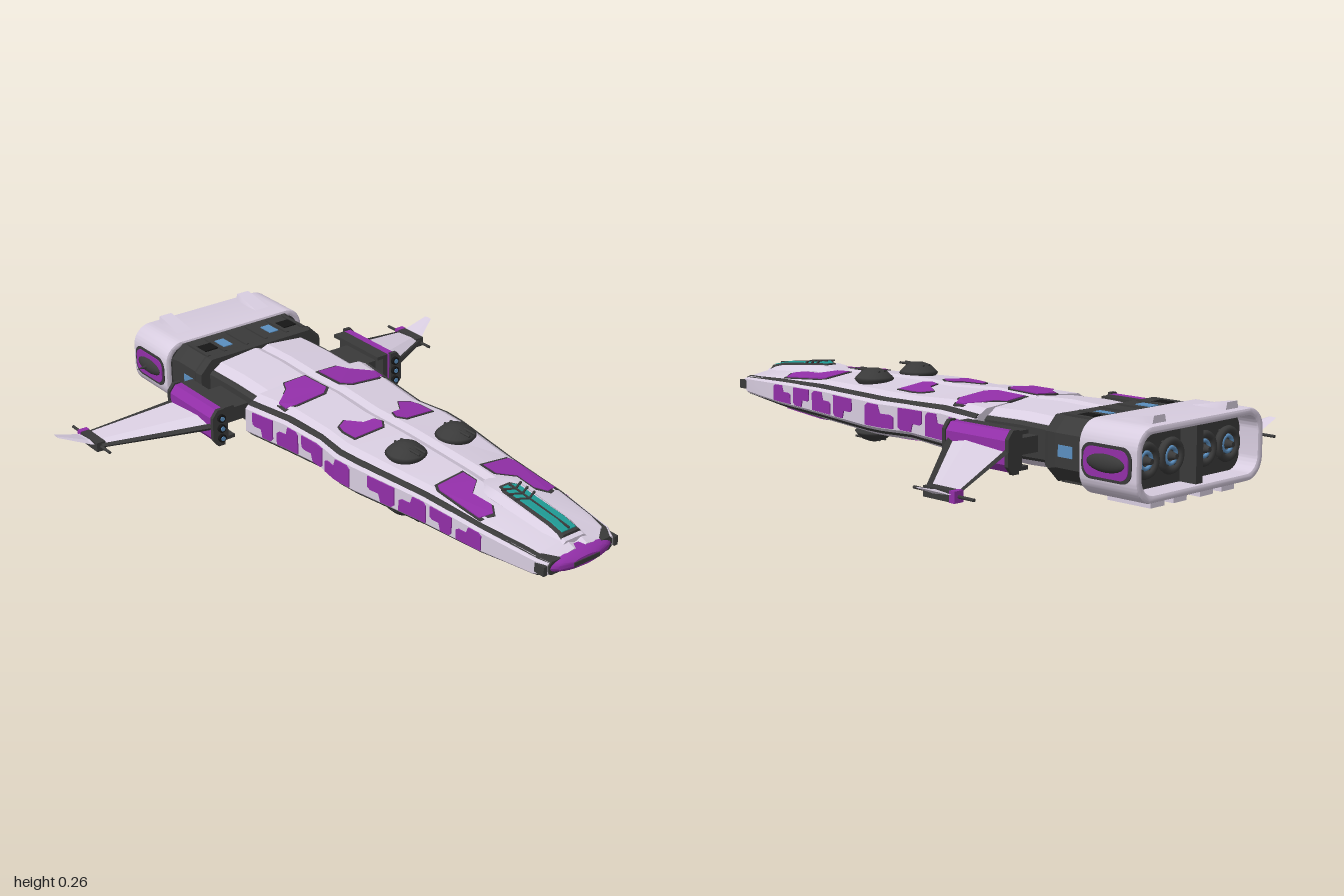
import * as THREE from 'three';
import { toCreasedNormals } from 'three/addons/utils/BufferGeometryUtils.js';

const CY = 0.145; // height of the ship's centre plane
const mat = (color) => new THREE.MeshStandardMaterial({ color });
const white = mat(0xd8cde0), purple = mat(0x922fa8), dark = mat(0x3a3a3a), black = mat(0x161616);
const teal = mat(0x1f9a94), blue = mat(0x5b8fc0);

// hull stations: z, half width, half height
const HULL = [[0.97, 0.13, 0.032], [0.93, 0.15, 0.048], [0.72, 0.178, 0.069], [0.48, 0.195, 0.082], [0.2, 0.235, 0.089],
  [0.12, 0.24, 0.088], [0, 0.222, 0.086], [-0.16, 0.234, 0.096], [-0.335, 0.265, 0.091]];
const REAR = [[-0.335, 0.215, 0.09], [-0.48, 0.215, 0.095], [-0.64, 0.215, 0.09]];

// interpolated [half width, half height] at z
function at(z) {
  let i = 0;
  while (i < HULL.length - 2 && z < HULL[i + 1][0]) i++;
  const a = HULL[i], b = HULL[i + 1], t = (z - a[0]) / (b[0] - a[0]);
  return [a[1] + (b[1] - a[1]) * t, a[2] + (b[2] - a[2]) * t];
}

// upper shell half profile, relative to the centre plane
const profile = (w, h) => [[0, h - 0.01], [0.025, h], [0.78 * w, h - 0.014], [0.92 * w, 0.62 * h]];
function topY(x, z) {
  const p = profile(...at(z)), ax = Math.abs(x);
  let i = 0;
  while (i < 2 && ax > p[i + 1][0]) i++;
  return p[i][1] + (p[i + 1][1] - p[i][1]) * (ax - p[i][0]) / (p[i + 1][0] - p[i][0]);
}

// solid through rings of equal point count, capped, always facing outward
function loft(rings, crease = 0.5) {
  const n = rings[0].length, pos = rings.flat(2), idx = [];
  for (let r = 0; r < rings.length - 1; r++) for (let i = 0; i < n; i++) {
    const a = r * n + i, b = r * n + (i + 1) % n;
    idx.push(a, b, a + n, b, b + n, a + n);
  }
  [[0, 1], [rings.length - 1, -1]].forEach(([r, s]) => {
    const c = pos.length / 3;
    for (let k = 0; k < 3; k++) pos.push(rings[r].reduce((t, p) => t + p[k], 0) / n);
    for (let i = 0; i < n; i++) {
      const a = r * n + i, b = r * n + (i + 1) % n;
      s > 0 ? idx.push(c, b, a) : idx.push(c, a, b);
    }
  });
  const v = (i) => new THREE.Vector3().fromArray(pos, i * 3);
  let vol = 0;
  for (let i = 0; i < idx.length; i += 3) vol += v(idx[i]).dot(v(idx[i + 1]).cross(v(idx[i + 2])));
  if (vol < 0) idx.reverse();
  const g = new THREE.BufferGeometry();
  g.setAttribute('position', new THREE.Float32BufferAttribute(pos, 3));
  g.setIndex(idx);
  return toCreasedNormals(g, crease);
}

// mirrored copy across x = 0 with winding repaired
function mirrorX(geo) {
  const g = geo.index ? geo.toNonIndexed() : geo.clone();
  g.scale(-1, 1, 1);
  for (const a of Object.values(g.attributes)) {
    const s = a.itemSize;
    for (let i = 0; i < a.count; i += 3) for (let k = 0; k < s; k++) {
      const p = (i + 1) * s + k, q = (i + 2) * s + k, t = a.array[p];
      a.array[p] = a.array[q]; a.array[q] = t;
    }
  }
  return g;
}

function add(parent, name, geo, material, both = false) {
  [geo, both && mirrorX(geo)].filter(Boolean).forEach((g, i) => {
    const m = new THREE.Mesh(g, material);
    m.name = both ? (i ? 'right ' : 'left ') + name : name;
    parent.add(m);
  });
}
const box = (w, h, d, x, y, z) => new THREE.BoxGeometry(w, h, d).translate(x, y, z);
const cyl = (r1, r2, len, x, y, z, n = 20) => new THREE.CylinderGeometry(r1, r2, len, n).rotateX(Math.PI / 2).translate(x, y, z);
// rectangular ring with cut corners
const cutRect = (w, h, c, z, y = 0) => [[w, c - h], [w, h - c], [w - c, h], [c - w, h], [-w, h - c], [-w, c - h], [c - w, -h], [w - c, -h]]
  .map(([a, b]) => [a, b + y, z]);

function roundRect(w, h, r) {
  const s = new THREE.Shape();
  [[w - r, h - r, 0], [r - w, h - r, 1], [r - w, r - h, 2], [w - r, r - h, 3]]
    .forEach(([x, y, q]) => s.absarc(x, y, r, q * Math.PI / 2, (q + 1) * Math.PI / 2, false));
  return s;
}
const extrudeZ = (shape, z, depth, bevel = 0) => toCreasedNormals(new THREE.ExtrudeGeometry(shape, {
  depth, curveSegments: 10, bevelEnabled: bevel > 0, bevelSize: bevel, bevelThickness: bevel, bevelOffset: -bevel, bevelSegments: 2 }).translate(0, 0, z), 0.6);

// coloured plate draped over the upper shell
function patch(pts, grow, lift) {
  const cx = pts.reduce((t, p) => t + p[0], 0) / pts.length, cz = pts.reduce((t, p) => t + p[1], 0) / pts.length;
  const shape = new THREE.Shape(pts.map(([x, z]) => new THREE.Vector2(cx + (x - cx) * grow, -(cz + (z - cz) * grow))));
  const g = new THREE.ExtrudeGeometry(shape, { depth: 0.01, bevelEnabled: false }).rotateX(-Math.PI / 2);
  const p = g.attributes.position;
  for (let i = 0; i < p.count; i++) p.setY(i, topY(p.getX(i), p.getZ(i)) + (p.getY(i) > 0.005 ? lift : -0.008));
  g.computeVertexNormals();
  return g;
}
const PATCHES = [
  [[0.03, -0.325], [0.11, -0.33], [0.13, -0.29], [0.2, -0.235], [0.2, -0.195], [0.165, -0.178], [0.06, -0.178], [0.03, -0.205]],
  [[0.11, 0], [0.145, 0.02], [0.155, 0.055], [0.155, 0.115], [0.05, 0.12], [0.03, 0.09], [0.04, 0.06], [0.075, 0.055]],
  [[0.04, 0.5], [0.14, 0.5], [0.15, 0.52], [0.15, 0.7], [0.11, 0.715], [0.085, 0.68], [0.09, 0.6], [0.04, 0.56]]];

// one deck (used upright on top and rolled over underneath)
function deck(name) {
  const g = new THREE.Group();
  g.name = name;
  const ring = ([z, w, h]) => {
    const p = [...profile(w, h), [0.9 * w, 0]];
    return [...p.map(([x, y]) => [x, y, z]), ...p.slice(1).reverse().map(([x, y]) => [-x, y, z])];
  };
  add(g, 'deck shell', loft(HULL.map(ring), 0.35), white);
  add(g, 'rear deck shell', loft(REAR.map(ring), 0.35), white);
  PATCHES.forEach((p) => {
    add(g, 'plate border', patch(p, 1.1, 0.003), dark, true);
    add(g, 'deck plate', patch(p, 1, 0.005), purple, true);
  });
  const y = topY(0.1, 0.3);
  const dome = [[0, 0.044], [0.02, 0.042], [0.042, 0.033], [0.06, 0.016], [0.066, 0.008], [0.05, -0.012]].reverse();
  add(g, 'turret dome', new THREE.LatheGeometry(dome.map((p) => new THREE.Vector2(...p)), 28).translate(0.1, y, 0.3), dark, true);
  [-0.012, 0.012].forEach((dx) => add(g, 'turret barrel', cyl(0.004, 0.004, 0.12, 0.1 + dx, y + 0.035, 0.32, 8), dark, true));
  g.position.y = CY;
  return g;
}

export function createModel() {
  const ship = new THREE.Group();
  ship.name = 'starship';
  const top = deck('upper deck'), bottom = deck('lower deck');
  bottom.rotation.z = Math.PI;
  ship.add(top, bottom);
  const body = new THREE.Group();
  body.name = 'centre body';
  body.position.y = CY;
  ship.add(body);

  // dark seam and pale side band
  add(body, 'hull seam', loft(HULL.map(([z, w, h]) => cutRect(0.955 * w, 0.68 * h, 0.01, z + 0.003))), dark);
  add(body, 'side band', loft(HULL.map(([z, w, h]) => cutRect(w, 0.56 * h, 0.12 * h, z))), white);
  add(body, 'rear hull side', loft(REAR.map(([z, w, h]) => cutRect(w, 0.6 * h, 0.01, z))), dark);
  // notched coloured side plates
  [[0.74, 0.64], [0.62, 0.53], [0.51, 0.4], [0.38, 0.27], [0.19, 0.06], [0.04, -0.07], [-0.09, -0.19], [-0.21, -0.3]].forEach(([a, b], k) => {
    const s = k % 2 ? -1 : 1;
    const rings = [0, 0.1, 0.5, 0.58, 0.9, 1].map((t, i) => {
      const z = a + (b - a) * t, [w, h] = at(z), hi = [0.3, 0.41, 0.41, 0.1, 0.1, 0.02][i] * h * s, lo = -0.41 * h * s;
      return [[w - 0.01, lo, z], [w + 0.004, lo, z], [w + 0.004, hi, z], [w - 0.01, hi, z]];
    });
    add(body, 'side plate', loft(rings, 0.2), purple, true);
  });

  // nose
  const oval = (w, h, z) => Array.from({ length: 24 }, (_, i) => [w * Math.cos(i * Math.PI / 12), h * Math.sin(i * Math.PI / 12), z]);
  add(body, 'nose cap', loft([oval(0.132, 0.034, 0.95), oval(0.125, 0.03, 0.97), oval(0.1, 0.025, 0.985), oval(0.055, 0.015, 0.997)]), purple);
  add(body, 'nose slot', box(0.1, 0.014, 0.02, 0, 0, 0.99), dark);
  add(body, 'nose corner', box(0.014, 0.03, 0.05, 0.14, 0, 0.95), dark, true);

  // cockpit fairing and canopy, sloping to the nose
  const hump = (w, y, z) => [[w, 0.03, z], [w, y - 0.018, z], [w * 0.65, y, z], [-w * 0.65, y, z], [-w, y - 0.018, z], [-w, 0.03, z]];
  add(body, 'cockpit fairing', loft([hump(0.03, 0.072, 0.56), hump(0.06, 0.086, 0.61), hump(0.066, 0.088, 0.66), hump(0.06, 0.066, 0.87), hump(0.055, 0.048, 0.945)]), white);
  add(body, 'canopy frame', loft([hump(0.03, 0.09, 0.64), hump(0.044, 0.094, 0.67), hump(0.046, 0.074, 0.87), hump(0.046, 0.06, 0.93)]), dark);
  add(body, 'canopy glass', loft([hump(0.026, 0.092, 0.652), hump(0.038, 0.097, 0.675), hump(0.04, 0.077, 0.87), hump(0.04, 0.065, 0.92)]), teal);
  add(body, 'canopy spine', box(0.006, 0.006, 0.26, 0, 0, 0).rotateX(0.12).translate(0, 0.084, 0.79), dark);
  [0.68, 0.71, 0.74].forEach((z) => add(body, 'canopy rib', box(0.044, 0.006, 0.006, 0, 0, 0).rotateY(0.5).translate(0.02, 0.097 - (z - 0.675) * 0.103, z), dark, true));

  // dark neck with windows
  add(body, 'neck', loft([[0.25, 0.095, -0.62], [0.26, 0.1, -0.64], [0.25, 0.096, -0.66], [0.25, 0.096, -0.76], [0.265, 0.102, -0.79]]
    .map(([w, h, z]) => cutRect(w, h, 0.045, z)), 0.3), dark);
  [1, -1].forEach((s) => {
    add(body, 'neck window', box(0.036, 0.01, 0.06, 0.097, s * 0.094, -0.71), blue, true);
    add(body, 'neck vent', box(0.06, 0.012, 0.05, 0.165, s * 0.094, -0.71), black, true);
    [0.04, 0.13, 0.2].forEach((x) => add(body, 'neck rib', box(0.012, 0.014, 0.13, x, s * 0.095, -0.71), dark, true));
  });
  add(body, 'neck side window', box(0.01, 0.035, 0.055, 0.248, 0, -0.7), blue, true);

  // engine block, open at the back
  const shell = roundRect(0.288, 0.11, 0.07);
  shell.holes.push(roundRect(0.262, 0.086, 0.05));
  add(body, 'engine casing', extrudeZ(shell, -0.992, 0.2, 0.008), white);
  add(body, 'engine bulkhead', extrudeZ(roundRect(0.268, 0.092, 0.055), -0.93, 0.145), dark);
  add(body, 'engine divider', box(0.03, 0.176, 0.08, 0, 0, -0.95), dark);
  [0.075, 0.185].forEach((x) => {
    add(body, 'engine nozzle', new THREE.TorusGeometry(0.043, 0.012, 8, 24).translate(x, 0, -0.945), dark, true);
    add(body, 'engine glow ring', new THREE.TorusGeometry(0.024, 0.006, 8, 20).translate(x, 0, -0.945), blue, true);
    add(body, 'engine hub', cyl(0.018, 0.008, 0.04, x, 0, -0.948), dark, true);
    for (let k = 0; k < 6; k++) add(body, 'nozzle vane', box(0.03, 0.007, 0.02, 0.034, 0, 0).rotateZ(k * Math.PI / 3).translate(x, 0, -0.938), dark, true);
  });
  const fin = (x, w, y, z) => [[x - w, 0.09, z], [x + w, 0.09, z], [x + w * 0.7, y, z], [x - w * 0.7, y, z]];
  add(body, 'engine top fairing', loft([fin(0.165, 0.04, 0.106, -0.83), fin(0.165, 0.036, 0.127, -0.94), fin(0.165, 0.034, 0.132, -0.975)]), white, true);
  [0.06, 0.16].forEach((x) => {
    add(body, 'engine keel rib', box(0.06, 0.035, 0.16, x, -0.115, -0.89), white, true);
    add(body, 'keel rib front', box(0.05, 0.025, 0.01, x, -0.116, -0.81), dark, true);
  });
  // side intakes
  const sideways = (w, h, r, x, depth) => extrudeZ(roundRect(w, h, r), 0, depth).rotateY(Math.PI / 2).translate(x, 0, -0.89);
  add(body, 'intake border', sideways(0.092, 0.052, 0.035, 0.275, 0.016), dark, true);
  add(body, 'intake panel', sideways(0.082, 0.043, 0.03, 0.28, 0.014), purple, true);
  add(body, 'intake dome', new THREE.SphereGeometry(1, 24, 12).scale(0.02, 0.028, 0.074).translate(0.288, 0, -0.89), dark, true);
  add(body, 'side probe', new THREE.ConeGeometry(0.008, 0.05, 10).rotateZ(Math.PI / 2).translate(-0.322, 0, -0.89), dark);

  // struts and wing pods
  add(body, 'wing strut', box(0.17, 0.05, 0.165, 0.275, 0, -0.475), dark, true);
  add(body, 'pod inner frame', box(0.03, 0.1, 0.25, 0.34, 0, -0.475), dark, true);
  [1, -1].forEach((s) => add(body, 'pod flange', box(0.06, 0.012, 0.25, 0.33, s * 0.053, -0.475), dark, true));
  const pod = (x, h, z) => [[x - 0.025, -h, z], [x, -h, z], [x + 0.02, 0.025 - h, z], [x + 0.02, h - 0.025, z], [x, h, z], [x - 0.025, h, z]];
  add(body, 'pod cover', loft([pod(0.37, 0.06, -0.345), pod(0.37, 0.06, -0.6)]), purple, true);
  [-0.342, -0.603].forEach((z) => add(body, 'pod end plate', loft([pod(0.373, 0.065, z - 0.007), pod(0.373, 0.065, z + 0.007)]), dark, true));
  [-0.036, 0, 0.036].forEach((y) => {
    add(body, 'pod launcher', cyl(0.014, 0.014, 0.02, 0.362, y, -0.335), black, true);
    add(body, 'launcher lens', cyl(0.008, 0.008, 0.02, 0.362, y, -0.332, 12), blue, true);
  });

  // drooped wings with dark leading edge and tip guns
  const rib = (x, y, front, back, t) => [[x, y, front], [x, y + t, front - (front - back) * 0.3], [x, y, back], [x, y - t, front - (front - back) * 0.3]];
  add(body, 'wing', loft([rib(0.38, 0.005, -0.355, -0.595, 0.014), rib(0.67, -0.062, -0.575, -0.688, 0.006), rib(0.7, -0.06, -0.595, -0.69, 0.006), rib(0.79, -0.03, -0.65, -0.682, 0.002)], 0.2), white, true);
  add(body, 'wing leading edge', loft([rib(0.38, 0.005, -0.34, -0.375, 0.012), rib(0.675, -0.063, -0.565, -0.59, 0.007)], 0.2), dark, true);
  add(body, 'wing trailing edge', loft([rib(0.38, 0.005, -0.585, -0.605, 0.007), rib(0.67, -0.063, -0.682, -0.692, 0.005)], 0.2), dark, true);
  add(body, 'gun housing', box(0.032, 0.032, 0.12, 0.676, -0.067, -0.635), dark, true);
  add(body, 'gun collar', box(0.034, 0.034, 0.02, 0.676, -0.067, -0.69), purple, true);
  add(body, 'gun barrel', cyl(0.005, 0.005, 0.24, 0.676, -0.067, -0.64, 10), dark, true);
  return ship;
}
